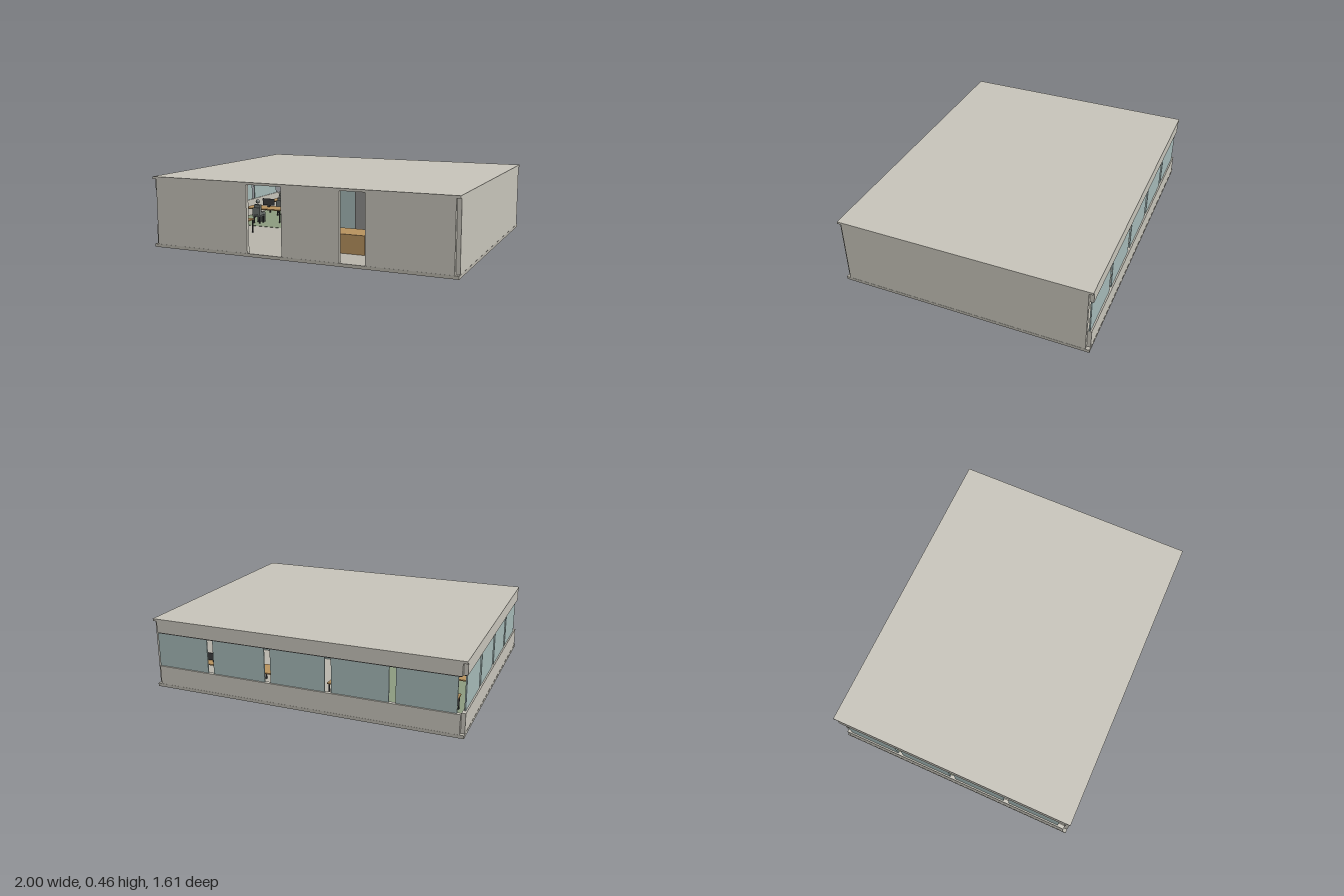
import * as THREE from 'three';

const mat = (color) => new THREE.MeshStandardMaterial({ color });
const M = {
  wall: mat(0xc8c5bb), base: mat(0xb9b6ac), glass: mat(0xa6bab8), dark: mat(0x3c3d3f),
  grey: mat(0x8f8f8d), figure: mat(0x6c726f), wood: mat(0xb8935f), carpet: mat(0x8d9c80),
};

// Box given by its lower and upper limits
function box(parent, name, m, [x0, y0, z0], [x1, y1, z1]) {
  const mesh = new THREE.Mesh(new THREE.BoxGeometry(x1 - x0, y1 - y0, z1 - z0), m);
  mesh.position.set((x0 + x1) / 2, (y0 + y1) / 2, (z0 + z1) / 2);
  mesh.name = name;
  parent.add(mesh);
  return mesh;
}

const X = 1, Z = 0.805, T = 0.025;      // half width, half depth, wall thickness
const FLOOR = 0.02, CEIL = 0.44, TOP = 0.455, SILL = 0.142, HEAD = 0.365;

function frontWall() {
  const s = new THREE.Shape();
  s.moveTo(-X + T, FLOOR);
  // two door openings reach down to the floor
  for (const [a, b] of [[-0.315, -0.08], [0.295, 0.455]]) {
    s.lineTo(a, FLOOR);
    s.lineTo(a, CEIL);
    s.lineTo(b, CEIL);
    s.lineTo(b, FLOOR);
  }
  s.lineTo(X - T, FLOOR);
  s.lineTo(X - T, TOP - 0.005);
  s.lineTo(-X + T, TOP - 0.005);
  const mesh = new THREE.Mesh(new THREE.ExtrudeGeometry(s, { depth: T - 0.001, bevelEnabled: false }), M.wall);
  mesh.position.z = Z - T;
  mesh.name = 'frontWall';
  return mesh;
}

// Desk with thin legs, a chair and a seated figure facing the back
function workstation(x, z, seated) {
  const g = new THREE.Group();
  g.name = 'workstation';
  box(g, 'deskTop', M.wood, [-0.15, 0.11, -0.16], [0.15, 0.118, -0.02]);
  for (const sx of [-0.14, 0.14]) for (const sz of [-0.15, -0.03])
    box(g, 'deskLeg', M.dark, [sx - 0.004, FLOOR, sz - 0.004], [sx + 0.004, 0.11, sz + 0.004]);
  box(g, 'monitor', M.dark, [-0.05, 0.13, -0.12], [0.05, 0.18, -0.115]);
  box(g, 'monitorStand', M.dark, [-0.008, 0.118, -0.125], [0.008, 0.135, -0.115]);
  box(g, 'chairSeat', M.figure, [-0.032, 0.072, 0], [0.032, 0.082, 0.065]);
  box(g, 'chairBack', M.figure, [-0.03, 0.085, 0.06], [0.03, 0.14, 0.068]);
  for (const sx of [-0.022, 0.022]) for (const sz of [0.006, 0.058])
    box(g, 'chairLeg', M.dark, [sx - 0.004, FLOOR, sz - 0.004], [sx + 0.004, 0.074, sz + 0.004]);
  if (seated) {
    box(g, 'torso', M.figure, [-0.025, 0.082, 0.03], [0.025, 0.16, 0.055]);
    for (const sx of [-0.013, 0.013]) {
      box(g, 'thigh', M.figure, [sx - 0.009, 0.082, -0.02], [sx + 0.009, 0.1, 0.04]);
      box(g, 'shin', M.figure, [sx - 0.007, FLOOR, -0.03], [sx + 0.007, 0.095, -0.015]);
    }
    const head = new THREE.Mesh(new THREE.SphereGeometry(0.015, 16, 12), M.figure);
    head.position.set(0, 0.183, 0.042);
    head.name = 'head';
    g.add(head);
  }
  g.position.set(x, 0, z);
  return g;
}

export function createModel() {
  const g = new THREE.Group();
  g.name = 'officeFloor';

  // Slabs
  box(g, 'floorSlab', M.base, [-X, 0, -Z], [X, FLOOR, Z]);
  box(g, 'roofSlab', M.wall, [-X, CEIL, -Z], [X, TOP, Z]);

  // Solid walls; corners stay notched
  g.add(frontWall());
  box(g, 'sideWall', M.wall, [X - T, FLOOR, -Z + T], [X - 0.001, CEIL, Z - T]);

  // Walls with a continuous window strip: sill and header
  for (const [name, y0, y1] of [['sillWall', FLOOR, SILL], ['headerWall', HEAD, CEIL]]) {
    box(g, 'back' + name, M.wall, [-X + T, y0, -Z + 0.001], [X - T, y1, -Z + T]);
    box(g, 'side' + name, M.wall, [-X + 0.001, y0, -Z + T], [-X + T, y1, Z - T]);
  }

  // Window panes with open gaps between them
  for (let i = 0; i < 5; i++) {
    const x = 0.8 - i * 0.394;
    box(g, 'backPane', M.glass, [x - 0.177, SILL, -0.795], [x + 0.177, HEAD - 0.006, -0.787]);
  }
  for (let i = 0; i < 4; i++) {
    const z = -0.575 + i * 0.38;
    box(g, 'sidePane', M.glass, [-0.99, SILL, z - 0.172], [-0.982, HEAD - 0.006, z + 0.172]);
  }
  box(g, 'backWindowRail', M.dark, [-0.97, HEAD - 0.006, -0.796], [0.97, HEAD, -0.786]);
  box(g, 'sideWindowRail', M.dark, [-0.991, HEAD - 0.006, -0.77], [-0.981, HEAD, 0.77]);

  // Interior: carpet, ceiling beam, glass partition
  box(g, 'carpet', M.carpet, [-0.97, FLOOR, -0.775], [-0.2, FLOOR + 0.002, 0.04]);
  box(g, 'ceilingBeam', M.grey, [-0.97, 0.4, -0.02], [0.97, CEIL, 0.02]);
  box(g, 'glassPartition', M.glass, [-0.15, FLOOR, -0.004], [0.97, 0.4, 0.004]);
  box(g, 'partitionPost', M.wood, [-0.155, FLOOR, -0.005], [-0.148, 0.4, 0.005]);
  box(g, 'woodPelmet', M.wood, [-0.97, HEAD + 0.003, -0.775], [0.97, 0.4, -0.768]);

  // Counter, cabinet and shelved panel behind the narrow door
  box(g, 'counter', M.wood, [0.1, FLOOR, 0.39], [0.355, 0.14, 0.57]);
  box(g, 'cabinet', M.wood, [0.375, FLOOR, 0.06], [0.6, 0.3, 0.2]);
  box(g, 'shelfPanel', M.grey, [0.1, FLOOR, 0.1], [0.35, 0.4, 0.12]);
  for (const y of [0.37, 0.39])
    box(g, 'shelf', M.dark, [0.1, y - 0.003, 0.12], [0.362, y + 0.003, 0.17]);

  // Desks in a row along the back windows and by the side windows
  for (const [x, z, seated] of [
    [-0.75, -0.45, true], [-0.25, -0.45, true], [0.25, -0.45, false], [0.72, -0.45, true],
    [-0.75, -0.1, true], [-0.75, 0.4, false],
  ]) g.add(workstation(x, z, seated));

  return g;
}
